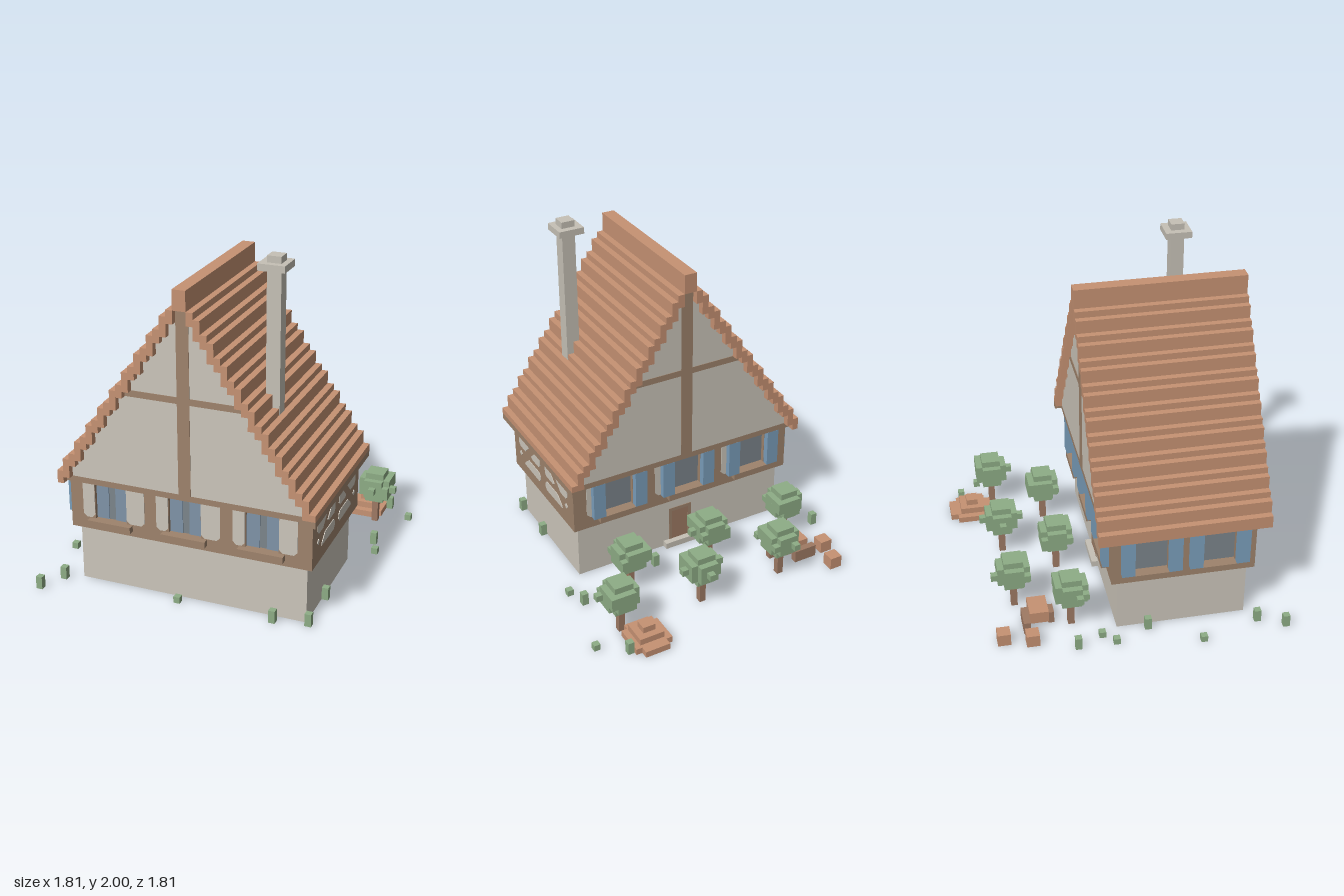
import * as THREE from 'three';

const V = 0.03774; // size of one building block

function material(name, color) {
  const m = new THREE.MeshStandardMaterial({ color });
  m.name = name;
  return m;
}

export function createModel() {
  const plaster = material('plaster', 0xccc6bb);
  const timber = material('timber', 0x9e836c);
  const tile = material('roof tile', 0xc69273);
  const stone = material('chimney stone', 0xc6c1b6);
  const shutterBlue = material('shutter blue', 0x7a9ebb);
  const paneBlue = material('window pane blue', 0x7f94a8);
  const glass = material('window glass', 0x7c858b);
  const leaf = material('leaf green', 0x8ead86);
  const bark = material('bark brown', 0x9f7a64);

  const model = new THREE.Group();
  model.name = 'cottage';

  function group(name, parent = model) {
    const g = new THREE.Group();
    g.name = name;
    parent.add(g);
    return g;
  }
  // box given by its low and high corner
  function box(parent, name, mat, x0, x1, y0, y1, z0, z1) {
    const mesh = new THREE.Mesh(new THREE.BoxGeometry(x1 - x0, y1 - y0, z1 - z0), mat);
    mesh.position.set((x0 + x1) / 2, (y0 + y1) / 2, (z0 + z1) / 2);
    mesh.name = name;
    parent.add(mesh);
    return mesh;
  }
  const path = (pts, Type = THREE.Shape) => new Type(pts.map(p => new THREE.Vector2(...p)));
  const rect = (a, b, c, d) => [[a, c], [b, c], [b, d], [a, d]];
  // polygon extruded from z to z + depth
  function slab(parent, name, mat, shape, z, depth) {
    const mesh = new THREE.Mesh(new THREE.ExtrudeGeometry(shape, { depth, bevelEnabled: false }), mat);
    mesh.position.z = z;
    mesh.name = name;
    parent.add(mesh);
    return mesh;
  }
  const plate = (parent, name, mat, pts) => slab(parent, name, mat, path(pts), 0, 0.004);

  // main levels
  const Y1 = 0.345, Y2 = 0.68, front = 0.717, back = -0.113, halfX = 0.717;
  const midZ = (front + back) / 2, halfZ = (front - back) / 2;

  // ground floor: hollow, open underneath
  const ground = group('groundFloor');
  const ring = path(rect(-0.68, 0.68, -0.68, 0.075));
  ring.holes.push(path(rect(-0.67, 0.67, -0.67, 0.065), THREE.Path));
  slab(ground, 'groundWalls', plaster, ring, 0, Y1).rotation.x = -Math.PI / 2;
  box(ground, 'door', bark, -0.055, 0.055, 0.037, 0.24, -0.077, -0.074);
  for (const s of [-1, 1]) box(ground, 'doorPost', timber, s * 0.065 - 0.01, s * 0.065 + 0.01, 0.037, 0.262, -0.079, -0.074);
  box(ground, 'doorLintel', timber, -0.055, 0.055, 0.24, 0.262, -0.079, -0.074);
  box(ground, 'doorStep', stone, -0.113, 0.113, 0, V, -0.113, -0.074);

  // upper floor core
  box(model, 'upperFloorCore', plaster, -0.68, 0.68, Y1, Y2, back + V, front - V);

  // timber wall facing its local +z, with windows, sills, plaster panels
  function wall(name, half, x, z, turn, centres, panels, shutters) {
    const g = group(name);
    g.position.set(x, 0, z);
    g.rotation.y = turn;
    const shape = path(rect(-half, half, Y1, Y2));
    for (const c of centres) {
      shape.holes.push(path(rect(c - 0.096, c + 0.096, 0.415, 0.645), THREE.Path));
      box(g, 'windowGlass', glass, c - 0.096, c + 0.096, 0.415, 0.645, -0.032, -0.026);
      box(g, 'windowSill', timber, c - 0.132, c + 0.132, 0.378, 0.415, 0, V);
      for (const s of [-1, 1]) {
        if (shutters) box(g, 'shutter', shutterBlue, c + s * 0.135 - V, c + s * 0.135 + V, 0.415, 0.645, 0, V);
        else box(g, 'windowPane', paneBlue, c + s * 0.058 - V, c + s * 0.058 + V, 0.415, 0.645, -0.026, -0.02);
      }
    }
    slab(g, 'timberWall', timber, shape, -V, V);
    for (const [a, b] of panels) {
      plate(g, 'plasterPanel', plaster,
        [[a + 0.02, 0.42], [b - 0.02, 0.42], [b, 0.44], [b, 0.643], [a, 0.643], [a, 0.44]]);
    }
    return g;
  }
  const frontCentres = [-0.47, -0.02, 0.432];
  const frontPanels = [[-0.64, -0.568], [-0.372, -0.262], [-0.19, -0.118], [0.078, 0.19], [0.264, 0.334], [0.53, 0.635]];
  wall('frontWall', halfX, 0, front, 0, frontCentres, frontPanels, false);
  wall('backWall', halfX, 0, back, Math.PI, frontCentres.map(c => -c),
    frontPanels.map(([a, b]) => [-b, -a]), true);
  wall('rightSideWall', halfZ, -halfX, midZ, -Math.PI / 2, [-0.19, 0.2], [], true);

  // braced side wall without windows
  const braced = wall('leftSideWall', halfZ, halfX, midZ, Math.PI / 2, [], [], false);
  const bracePanels = [
    [[0.34, 0.64], [0.155, 0.64], [0.15, 0.615], [0.25, 0.525], [0.32, 0.525], [0.34, 0.545]],
    [[0.037, 0.64], [0.075, 0.64], [0.08, 0.61], [0.165, 0.535], [0.15, 0.523], [0.055, 0.523], [0.037, 0.54]],
    [[0.265, 0.425], [0.26, 0.44], [0.205, 0.485], [0.055, 0.485], [0.037, 0.465], [0.037, 0.44], [0.055, 0.422]],
    [[0.34, 0.475], [0.32, 0.493], [0.302, 0.475], [0.32, 0.457]],
  ];
  for (const pts of bracePanels) for (const s of [-1, 1]) {
    plate(braced, 'bracedPanel', plaster, pts.map(([u, v]) => [s * u, v]));
  }

  // gables jut one block past the walls, with base beam, king post and tie beam
  const gableFront = front + V, gableBack = back - V;
  box(model, 'gableBaseBeam', timber, -halfX, halfX, 17.1 * V, Y2, gableBack, gableFront);
  slab(model, 'gable', plaster,
    path([[-halfX, Y2], [halfX, Y2], [halfX, 18.75 * V], [0, 47 * V], [-halfX, 18.75 * V]]),
    gableBack, gableFront - gableBack);
  for (const [z0, z1] of [[gableFront, gableFront + 0.003], [gableBack - 0.003, gableBack]]) {
    box(model, 'kingPost', timber, -0.036, 0.036, Y2, 46 * V, z0, z1);
    for (const s of [-1, 1]) box(model, 'tieBeam', timber, s * 0.207 - 0.171, s * 0.207 + 0.171, 1.21, 1.247, z0, z1);
  }

  // stepped roof courses, mirrored
  const roof = group('roof');
  const R0 = -0.19, R1 = 0.793;
  const top = k => 19 + Math.ceil(1.5 * k);
  for (let k = 0; k < 19; k++) for (const s of [-1, 1]) {
    const a = s * (19 - k) * V, b = s * (20 - k) * V;
    const low = k ? top(k - 1) - 1 : s > 0 ? 18 : 17;
    box(roof, 'roofCourse', tile, Math.min(a, b), Math.max(a, b), low * V, top(k) * V, R0, R1);
  }
  box(roof, 'eaveBeam', timber, 19 * V, 20 * V, 17 * V, 18 * V, R0, R1);
  box(roof, 'ridge', tile, -V, V, 46 * V, 49 * V, R0, R1);

  // chimney
  const chimney = group('chimney');
  box(chimney, 'stack', stone, 0.377, 0.456, 1.13, 2, 0.452, 0.53);
  box(chimney, 'cap', stone, 0.337, 0.488, 1.925, 1.963, 0.414, 0.566);

  // blocky trees: x, z, crown bulk (width, height, depth, shift x, shift z), single leaf blocks
  const block = (g, name, mat, x, y, z, w, h, d) =>
    box(g, name, mat, x - w * V / 2, x + w * V / 2, y - h * V / 2, y + h * V / 2, z - d * V / 2, z + d * V / 2);
  const cutCorner = [[4, 1, 5, 0.5, 0], [5, 1, 4, 0, 0.5]], square = [[5, 1, 5, 0, 0]];
  const trees = [
    [-0.36, -0.625, cutCorner, [[-1, 0, -3], [1, -2, 2], [2, 1, 2]]],
    [0.17, -0.625, [[4, 3, 4, 0.5, 0.5]], [[0, 0, 3], [0, 0, -3], [3, 0, 0], [-3, 0, 0]]],
    [0.692, -0.625, [[4, 1, 5, 0.5, 0]], [[0, 0, 3], [3, 0, 1], [2, 1, -2], [2, -1, 2]]],
    [-0.585, -0.325, cutCorner, [[-3, 0, 1], [0, -2, 2], [2, 1, -2]]],
    [-0.055, -0.325, square, [[3, 0, 0], [2, 1, 2], [-2, -1, -2]]],
    [0.472, -0.325, square, [[-2, 1, -2], [2, -1, -2]]],
  ];
  for (const [x, z, bulk, nubs] of trees) {
    const g = group('tree'), y = 0.246;
    block(g, 'trunk', bark, x, 0.09, z, 1, 4.77, 1);
    for (const [w, h, d] of [[5, 3, 3], [3, 3, 5], [3, 5, 3]]) block(g, 'crown', leaf, x, y, z, w, h, d);
    for (const [w, h, d, i, k] of bulk) block(g, 'crownBulk', leaf, x + i * V, y, z + k * V, w, h, d);
    for (const [i, j, k] of nubs) block(g, 'leafBlock', leaf, x + i * V, y + j * V, z + k * V, 1, 1, 1);
  }

  // stepped pile behind the house
  const pile = group('steppedPile');
  box(pile, 'pileBase', tile, 0.53, 0.68, 0, V, -0.905, -0.645);
  box(pile, 'pileBaseWide', tile, 0.49, 0.715, 0, V * 0.98, -0.86, -0.68);
  box(pile, 'pileMiddle', tile, 0.53, 0.68, V, 2 * V, -0.84, -0.69);
  box(pile, 'pileTop', tile, 0.565, 0.64, 2 * V, 3 * V, -0.8, -0.73);

  // bench and crates
  const bench = group('bench');
  box(bench, 'benchTop', tile, -0.605, -0.455, 0.04, 0.113, -0.565, -0.455);
  box(bench, 'benchBack', bark, -0.64, -0.495, 0, 0.075, -0.605, -0.565);
  box(bench, 'benchFoot', bark, -0.57, -0.495, 0, 0.075, -0.455, -0.42);
  box(bench, 'benchLog', bark, -0.455, -0.38, 0, V, -0.5, -0.46);
  box(model, 'crate', tile, -0.715, -0.64, 0, 0.075, -0.765, -0.69);
  box(model, 'crate', tile, -0.755, -0.68, 0, 0.075, -0.605, -0.53);

  // grass tufts: x, z, height in blocks
  const tufts = [
    [-0.81, -0.32, 2], [-0.81, -0.1, 1], [-0.885, 0.39, 1], [-0.775, 0.735, 2], [-0.85, 0.885, 2],
    [-0.435, -0.285, 1], [0.245, -0.21, 2], [0.81, -0.21, 1], [0.77, -0.325, 2], [0.885, -0.705, 1],
    [0.735, -0.82, 2], [-0.06, 0.74, 1], [0.505, 0.74, 2], [0.7, 0.7, 2], [0.7, 0.4, 2], [-0.72, 0.1, 2],
    [-0.74, -0.17, 1],
  ];
  for (const [x, z, h] of tufts) block(model, 'grassTuft', leaf, x, h * V / 2, z, 1, h, 1);

  return model;
}
